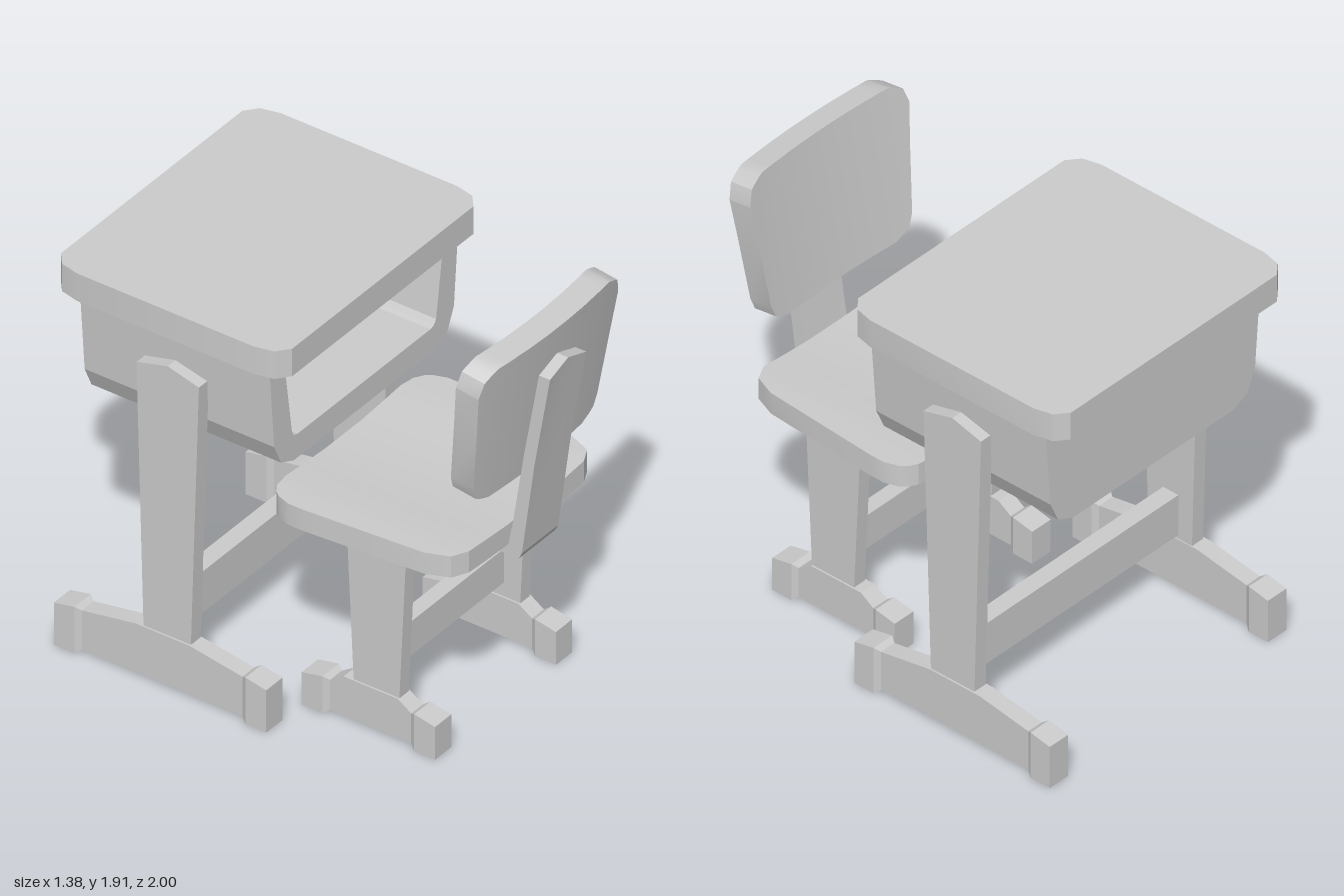
import * as THREE from 'three';
import { toCreasedNormals } from 'three/addons/utils/BufferGeometryUtils.js';

const material = new THREE.MeshStandardMaterial({ color: 0xcccccc });

function add(parent, name, geometry, x = 0, y = 0, z = 0) {
  const mesh = new THREE.Mesh(geometry, material);
  mesh.name = name;
  mesh.position.set(x, y, z);
  parent.add(mesh);
  return mesh;
}

// Symmetric solid swept through rectangles [t, u0, u1, v0, v1], given for t > 0 only.
// Axis 'x': t,u,v = x,y,z. Axis 'z': t,u,v = z,x,y.
function loft(half, axis) {
  const mirrored = half.map(([t, ...r]) => [-t, ...r]).reverse();
  const loops = [...mirrored, ...half].map(([t, u0, u1, v0, v1]) =>
    [[u0, v0], [u1, v0], [u1, v1], [u0, v1]].map(([u, v]) => (axis === 'x' ? [t, u, v] : [u, v, t])));
  const pos = [];
  const quad = (a, b, c, d) => pos.push(...a, ...b, ...c, ...a, ...c, ...d);
  for (let i = 0; i < loops.length - 1; i++) {
    const p = loops[i], q = loops[i + 1];
    for (let k = 0; k < 4; k++) {
      const n = (k + 1) % 4;
      quad(p[k], p[n], q[n], q[k]);
    }
  }
  const first = loops[0], last = loops[loops.length - 1];
  quad(first[0], first[3], first[2], first[1]);
  quad(last[0], last[1], last[2], last[3]);
  const geometry = new THREE.BufferGeometry();
  geometry.setAttribute('position', new THREE.Float32BufferAttribute(pos, 3));
  geometry.computeVertexNormals();
  return toCreasedNormals(geometry, 0.4);
}

const shapeOf = (points) => new THREE.Shape(points.map(([a, b]) => new THREE.Vector2(a, b)));

// Side profile in [z, y], extruded along x and centred on it
function sideProfile(points, width, steps = 1) {
  const geometry = new THREE.ExtrudeGeometry(shapeOf(points.map(([z, y]) => [-z, y])),
    { depth: width, bevelEnabled: false, steps });
  geometry.translate(0, 0, -width / 2);
  geometry.rotateY(Math.PI / 2);
  return geometry;
}

// Foot along z with wider end pads and a raised middle
function footGeometry(halfLength, plateau, padTop, midTop) {
  const L = halfLength;
  return loft([
    [plateau, -0.039, 0.039, 0.02, midTop],
    [L - 0.125, -0.039, 0.039, 0.02, padTop - 0.015],
    [L - 0.1, -0.054, 0.054, 0, padTop],
    [L, -0.054, 0.054, 0, padTop - 0.02],
  ], 'z');
}

function createDesk() {
  const desk = new THREE.Group();
  desk.name = 'desk';

  add(desk, 'deskTop', loft([
    [0.60, 1.66, 1.79, -1, 0.11],
    [0.655, 1.66, 1.79, -0.955, 0.065],
    [0.675, 1.66, 1.79, -0.87, -0.02],
  ], 'x'));

  // Storage box below the top, open to the front
  const mirror = (pts) => [...pts, ...pts.map(([x, y]) => [-x, y]).reverse()];
  const outer = mirror([[0.465, 1.15], [0.55, 1.187], [0.595, 1.285], [0.625, 1.66]]);
  const inner = mirror([[0.44, 1.262], [0.462, 1.268], [0.477, 1.29], [0.53, 1.66]]);
  // U-shaped wall: around the outside, then back along the inside
  const wall = [...outer.slice(0, 4), ...inner.slice(0, 4).reverse(),
    ...inner.slice(4).reverse(), ...outer.slice(4)];
  add(desk, 'storageBoxWalls', new THREE.ExtrudeGeometry(shapeOf(wall),
    { depth: 0.81, bevelEnabled: false }), 0, 0, -0.79);
  add(desk, 'storageBoxBack', new THREE.ExtrudeGeometry(shapeOf(outer),
    { depth: 0.1, bevelEnabled: false }), 0, 0, -0.89);

  for (const side of [-1, 1]) {
    add(desk, 'deskLeg', sideProfile([
      [-0.33, 0.2], [-0.29, 1.48], [-0.44, 1.52], [-0.59, 1.48], [-0.555, 0.2],
    ], 0.065), side * 0.633);
    add(desk, 'deskFoot', footGeometry(0.51, 0.13, 0.22, 0.248), side * 0.635, 0, -0.46);
  }
  add(desk, 'deskStretcher', new THREE.BoxGeometry(1.21, 0.195, 0.08), 0, 0.363, -0.445);
  return desk;
}

function createChair() {
  const chair = new THREE.Group();
  chair.name = 'chair';

  // Seat dips slightly in the middle
  add(chair, 'seat', loft([
    [0.12, 0.877, 0.972, -0.08, 0.80],
    [0.25, 0.882, 0.98, -0.08, 0.80],
    [0.38, 0.89, 0.99, -0.08, 0.80],
    [0.45, 0.89, 0.99, -0.07, 0.765],
    [0.49, 0.89, 0.99, -0.045, 0.665],
    [0.51, 0.89, 0.99, -0.02, 0.39],
    [0.53, 0.89, 0.99, 0.04, 0.11],
  ], 'x'));

  // Leaning backrest whose ends curve forward
  const outline = [
    [0.06, 0, 0.68], [0.18, 0, 0.68], [0.31, 0, 0.68], [0.365, 0.02, 0.68],
    [0.39, 0.035, 0.67], [0.41, 0.09, 0.66], [0.44, 0.38, 0.643], [0.462, 0.57, 0.575],
  ];
  const backrest = add(chair, 'backrest', loft(outline.map(([x, y0, y1]) => {
    const bend = -0.03 * (x / 0.46) ** 2;
    return [x, y0, y1, bend, bend + 0.11];
  }), 'x'), 0, 1.237, 0.745);
  backrest.rotation.x = 0.142;

  // Bent strip from under the seat up to the backrest, with a pointed top
  const strip = sideProfile([
    [0.30, 0.83], [0.30, 0.873], [0.80, 0.873], [0.82, 0.98], [0.875, 1.33], [0.947, 1.775],
    [1, 1.775], [0.925, 1.30], [0.865, 0.86], [0.85, 0.83],
  ], 0.24, 2);
  const p = strip.attributes.position;
  for (let i = 0; i < p.count; i++) {
    if (p.getY(i) > 1.7) p.setY(i, 1.775 - 0.04 * Math.abs(p.getX(i)) / 0.12);
  }
  strip.computeVertexNormals();
  add(chair, 'backSupport', toCreasedNormals(strip, 0.3));

  for (const side of [-1, 1]) {
    add(chair, 'chairLeg', sideProfile([
      [0.50, 0.15], [0.535, 0.9], [0.25, 0.9], [0.285, 0.15],
    ], 0.062), side * 0.4);
    add(chair, 'chairFoot', footGeometry(0.32, 0.13, 0.175, 0.203), side * 0.4, 0, 0.37);
  }
  add(chair, 'chairStretcher', new THREE.BoxGeometry(0.75, 0.16, 0.07), 0, 0.35, 0.39);
  return chair;
}

export function createModel() {
  const model = new THREE.Group();
  model.name = 'schoolDeskAndChair';
  model.add(createDesk(), createChair());
  return model;
}
